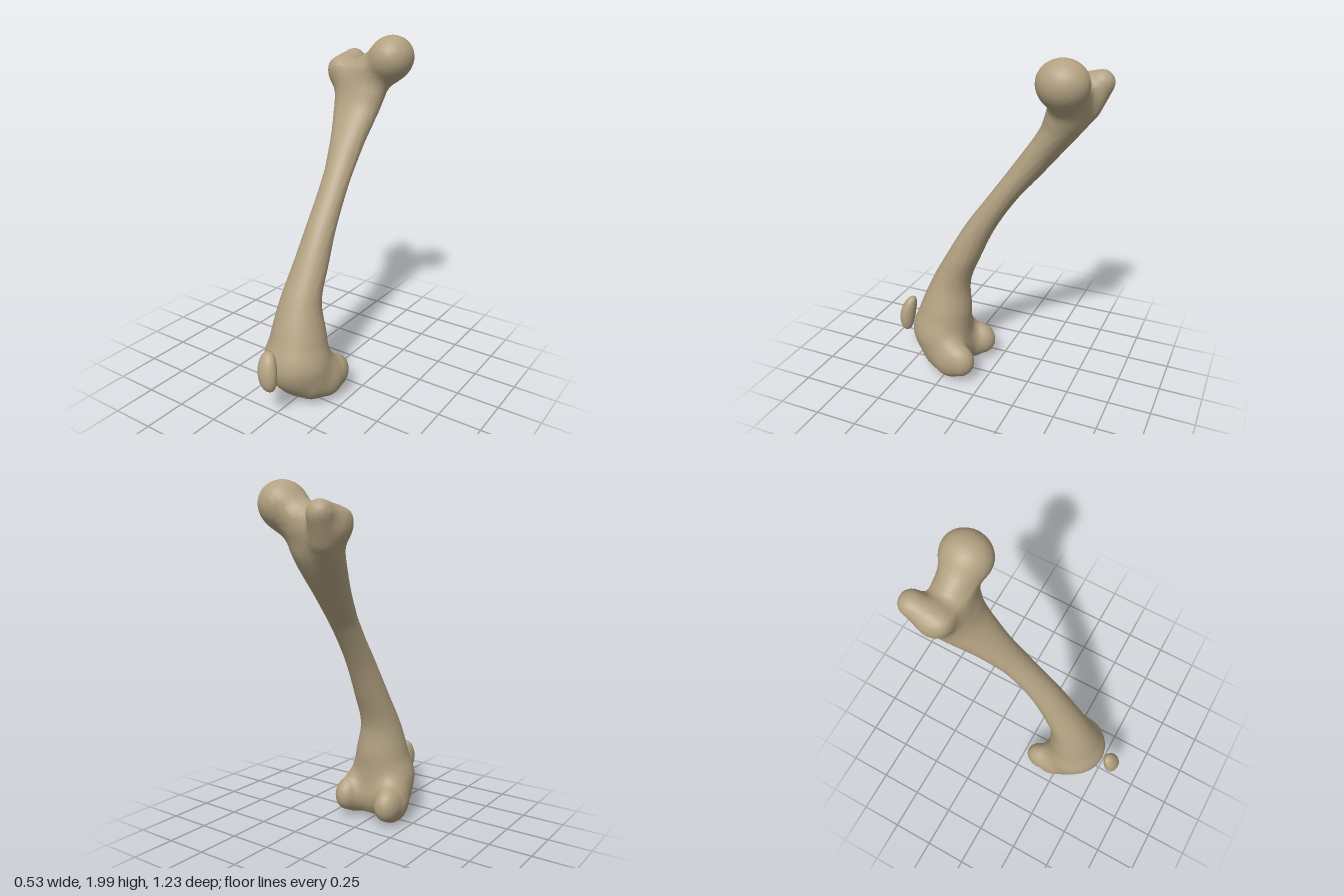
import * as THREE from 'three';

// Shaft cross-sections: height, centre x, half width x, centre z, half depth z
const SECTIONS = [
  [0.08, 0.00, 0.08, 0.28, 0.08],
  [0.25, 0.00, 0.185, 0.312, 0.16],
  [0.40, 0.00, 0.162, 0.295, 0.16],
  [0.60, -0.01, 0.12, 0.257, 0.118],
  [0.80, -0.005, 0.10, 0.163, 0.101],
  [1.00, -0.005, 0.085, 0.055, 0.089],
  [1.20, -0.013, 0.081, -0.083, 0.084],
  [1.40, -0.029, 0.096, -0.236, 0.096],
  [1.60, -0.048, 0.14, -0.378, 0.106],
  [1.72, -0.05, 0.165, -0.415, 0.10],
  [1.80, -0.06, 0.14, -0.43, 0.08],
];

// Smooth (Hermite) interpolation of the section table at a height
function sectionAt(y) {
  const n = SECTIONS.length;
  const yc = THREE.MathUtils.clamp(y, SECTIONS[0][0], SECTIONS[n - 1][0]);
  let i = 0;
  while (i < n - 2 && yc > SECTIONS[i + 1][0]) i++;
  const slope = (j, c) => {
    const a = SECTIONS[Math.max(j - 1, 0)], b = SECTIONS[Math.min(j + 1, n - 1)];
    return (b[c] - a[c]) / (b[0] - a[0]);
  };
  const p = SECTIONS[i], q = SECTIONS[i + 1], h = q[0] - p[0], t = (yc - p[0]) / h;
  const t2 = t * t, t3 = t2 * t;
  return [1, 2, 3, 4].map((c) =>
    p[c] * (2 * t3 - 3 * t2 + 1) + q[c] * (3 * t2 - 2 * t3) +
    h * (slope(i, c) * (t3 - 2 * t2 + t) + slope(i + 1, c) * (t3 - t2)));
}

// Rounded blend of two distances
function blend(a, b, k) {
  const h = Math.max(k - Math.abs(a - b), 0) / k;
  return Math.min(a, b) - h * h * k * 0.25;
}

// Distance to a tapered capsule between a and b, each [x, y, z, radius];
// flat < 1 squeezes it in x
function capsule(x, y, z, a, b, flat) {
  const px = (x - a[0]) / flat, py = y - a[1], pz = z - a[2];
  const dx = (b[0] - a[0]) / flat, dy = b[1] - a[1], dz = b[2] - a[2];
  const t = THREE.MathUtils.clamp((px * dx + py * dy + pz * dz) / (dx * dx + dy * dy + dz * dz), 0, 1);
  return (Math.hypot(px - dx * t, py - dy * t, pz - dz * t) - a[3] - (b[3] - a[3]) * t) * (flat + 1) / 2;
}

// Distance to a chain of tapered capsules
function chain(x, y, z, points, flat = 1) {
  let d = Infinity;
  for (let i = 1; i < points.length; i++) d = Math.min(d, capsule(x, y, z, points[i - 1], points[i], flat));
  return d;
}

// Two knuckles at the lower end: back, underside and front points
const CONDYLES = [
  [[-0.146, 0.142, 0.137, 0.104], [-0.13, 0.134, 0.20, 0.126],
    [-0.10, 0.16, 0.27, 0.128], [-0.035, 0.235, 0.335, 0.13]],
  [[0.144, 0.148, 0.15, 0.104], [0.132, 0.145, 0.20, 0.123],
    [0.10, 0.163, 0.27, 0.126], [0.035, 0.235, 0.335, 0.13]],
];
// Bridge between the knuckles, leaving a notch behind
const BRIDGE = [[0, 0.145, 0.245, 0.116], [0, 0.23, 0.32, 0.13]];
const HEAD = [0.133, 1.878, -0.437, 0.122];
const NECK = [[-0.19, 1.765, -0.44, 0.08], [-0.08, 1.763, -0.428, 0.088], [0.105, 1.845, -0.437, 0.11]];
// Trochanter: front corner, rear crest, and a ridge running down into the shaft
const TROCHANTER = [[-0.193, 1.80, -0.394, 0.06], [-0.188, 1.828, -0.545, 0.069],
  [-0.165, 1.70, -0.488, 0.068], [-0.05, 1.32, -0.18, 0.035]];

// Whole bone as one blended distance field
function boneField(x, y, z, s) {
  const shaft = (Math.hypot((x - s[0]) / s[1], (z - s[2]) / s[3]) - 1) * Math.min(s[1], s[3]) * 0.9;
  const body = Math.max(shaft, y - 1.8, 0.08 - y);
  const ball = Math.hypot(x - HEAD[0], y - HEAD[1], (z - HEAD[2]) / 1.11) - HEAD[3];
  const upper = blend(blend(ball, chain(x, y, z, NECK), 0.04), chain(x, y, z, TROCHANTER), 0.05);
  let lower = chain(x, y, z, BRIDGE);
  for (const points of CONDYLES) lower = blend(lower, chain(x, y, z, points, 0.75), 0.06);
  return blend(blend(body, upper, 0.06), lower, 0.08);
}

// Smooth skin over the field, one vertex per crossed grid cell
function skinGeometry(min, max, step) {
  const n = [0, 1, 2].map((i) => Math.ceil((max[i] - min[i]) / step) + 1);
  const stride = [1, n[0], n[0] * n[1]];
  const field = new Float32Array(n[0] * n[1] * n[2]);
  const at = (p) => p[0] + p[1] * stride[1] + p[2] * stride[2];
  for (let j = 0; j < n[1]; j++) {
    const y = min[1] + j * step, s = sectionAt(y);
    for (let k = 0; k < n[2]; k++)
      for (let i = 0; i < n[0]; i++)
        field[at([i, j, k])] = boneField(min[0] + i * step, y, min[2] + k * step, s);
  }
  const cells = new Int32Array(field.length).fill(-1), positions = [], index = [];
  const eachCell = (visit) => {
    for (let k = 0; k < n[2] - 1; k++)
      for (let j = 0; j < n[1] - 1; j++)
        for (let i = 0; i < n[0] - 1; i++) visit([i, j, k], at([i, j, k]));
  };
  // Vertices: mean of the crossings on the cell's edges
  eachCell((p, o) => {
    const sum = [0, 0, 0];
    let count = 0;
    for (let c = 0; c < 8; c++)
      for (let a = 0; a < 3; a++) {
        if (c & (1 << a)) continue;
        const bits = [c & 1, (c >> 1) & 1, (c >> 2) & 1];
        const u = o + bits[0] + bits[1] * stride[1] + bits[2] * stride[2];
        const f = field[u], g = field[u + stride[a]];
        if ((f < 0) === (g < 0)) continue;
        bits[a] += f / (f - g);
        for (let m = 0; m < 3; m++) sum[m] += bits[m];
        count++;
      }
    if (!count) return;
    cells[o] = positions.length / 3;
    for (let m = 0; m < 3; m++) positions.push(min[m] + (p[m] + sum[m] / count) * step);
  });
  // Faces: one quad around each crossed grid edge
  eachCell((p, o) => {
    for (let a = 0; a < 3; a++) {
      const inside = field[o] < 0;
      if (inside === (field[o + stride[a]] < 0)) continue;
      const b = stride[(a + 1) % 3], c = stride[(a + 2) % 3];
      const q = [cells[o - b - c], cells[o - c], cells[o], cells[o - b]];
      if (!inside) q.reverse();
      index.push(q[0], q[1], q[2], q[0], q[2], q[3]);
    }
  });
  const geometry = new THREE.BufferGeometry();
  geometry.setAttribute('position', new THREE.Float32BufferAttribute(positions, 3));
  geometry.setIndex(index);
  geometry.computeVertexNormals();
  return geometry;
}

// Kneecap: a blunt egg, tilted and hollowed slightly at the back
function kneecapGeometry() {
  const geometry = new THREE.SphereGeometry(1, 32, 24);
  const pos = geometry.attributes.position;
  for (let i = 0; i < pos.count; i++) {
    const y = pos.getY(i);
    const fuller = Math.max(1 - y * y, 0.001) ** -0.1;
    const x = pos.getX(i) * fuller, z = pos.getZ(i) * fuller;
    pos.setXYZ(i,
      -0.006 + x * 0.057 - y * 0.012,
      0.302 + y * 0.112,
      0.569 + z * 0.046 - y * 0.015 - y * y * 0.016);
  }
  geometry.computeVertexNormals();
  return geometry;
}

export function createModel() {
  const group = new THREE.Group();
  group.name = 'thighBone';
  const bone = new THREE.MeshStandardMaterial({ color: 0xb3a282 });
  bone.name = 'bone';

  const femur = new THREE.Mesh(skinGeometry([-0.32, -0.05, -0.68], [0.32, 2.06, 0.54], 0.016), bone);
  femur.name = 'femur';
  const kneecap = new THREE.Mesh(kneecapGeometry(), bone);
  kneecap.name = 'kneecap';
  group.add(femur, kneecap);
  return group;
}
